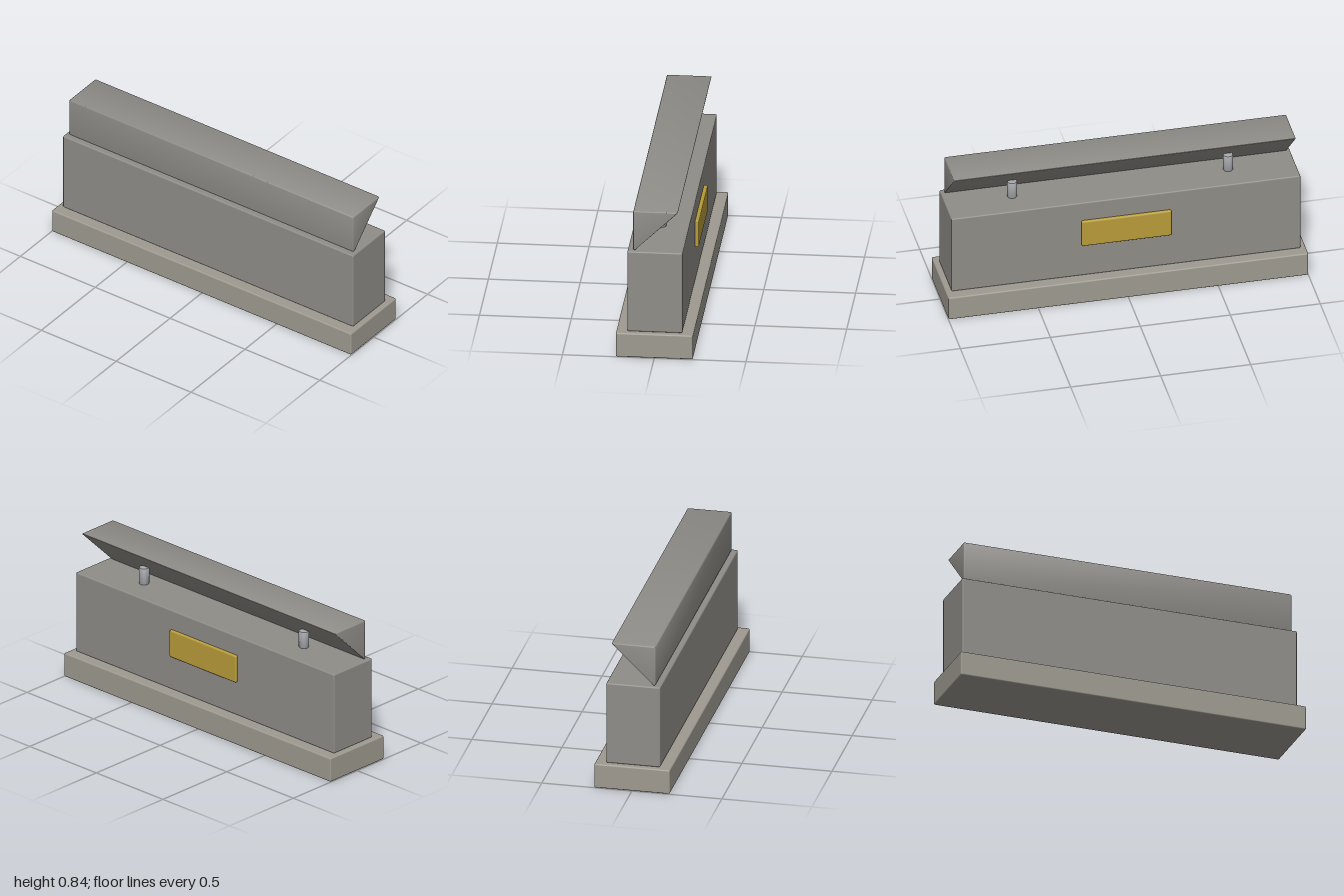
import * as THREE from 'three';
import { RoundedBoxGeometry } from 'three/addons/geometries/RoundedBoxGeometry.js';
import { toCreasedNormals } from 'three/addons/utils/BufferGeometryUtils.js';

const stone = new THREE.MeshStandardMaterial({ color: 0x8f8d88 });
const paleStone = new THREE.MeshStandardMaterial({ color: 0x9e9a90 });
const steel = new THREE.MeshStandardMaterial({ color: 0xa5a7ab });
const brass = new THREE.MeshStandardMaterial({ color: 0xb89c3a });

export function createModel() {
  const group = new THREE.Group();

  const add = (name, geometry, material, x, y, z) => {
    const mesh = new THREE.Mesh(geometry, material);
    mesh.name = name;
    mesh.position.set(x, y, z);
    group.add(mesh);
  };
  const box = (w, h, d, r = 0.008) => new RoundedBoxGeometry(w, h, d, 2, r);

  // Plinth, wall and the plaque on the back
  add('base', box(2, 0.14, 0.42), paleStone, 0, 0.07, 0);
  add('body', box(1.94, 0.47, 0.3), stone, 0, 0.375, 0);
  add('backPlaque', box(0.5, 0.16, 0.022, 0.009), brass, 0, 0.42, -0.159);

  // Wedge cap: a box whose back tapers to the front edge at the bottom
  const height = 0.23, depth = 0.248, edge = depth / 2 - 0.008;
  const wedge = box(1.9, height, depth);
  const pos = wedge.attributes.position;
  for (let i = 0; i < pos.count; i++) {
    const t = pos.getY(i) / height + 0.5;
    const z = pos.getZ(i);
    if (z < edge) pos.setZ(i, edge + (z - edge) * t);
  }
  add('wedgeCap', toCreasedNormals(wedge, 0.6), stone, 0, 0.61 + height / 2, -0.004);

  // Two support pins with softened rims
  const profile = [[0, 0], [0.021, 0], [0.026, 0.002], [0.028, 0.007],
    [0.028, 0.093], [0.026, 0.098], [0.021, 0.1], [0, 0.1]]
    .map(([x, y]) => new THREE.Vector2(x, y));
  const pin = toCreasedNormals(new THREE.LatheGeometry(profile, 24), 0.7);
  for (const side of [-1, 1]) {
    add(side > 0 ? 'leftPin' : 'rightPin', pin, steel, side * 0.6, 0.61, 0);
  }

  return group;
}
